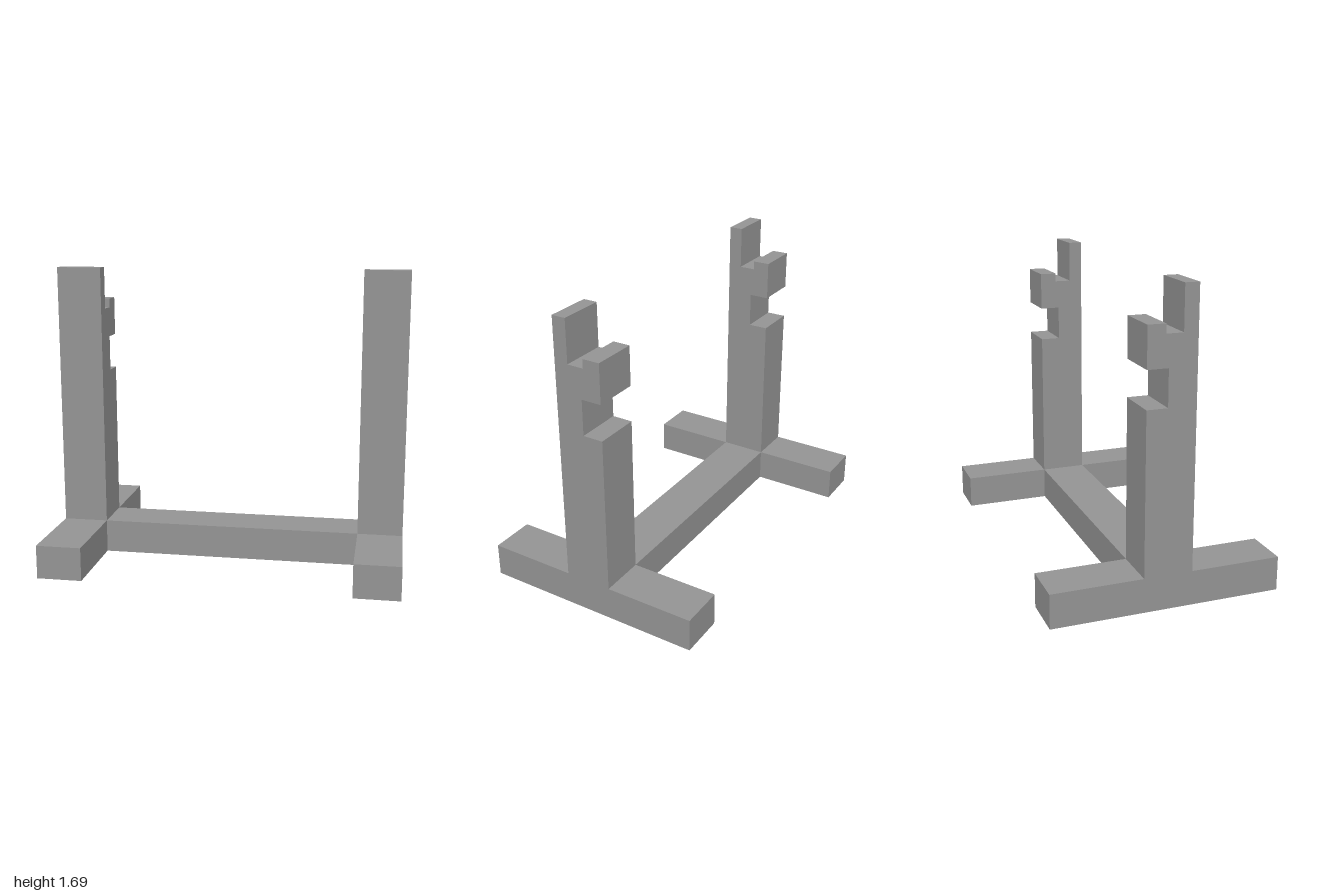
import * as THREE from 'three';

const OUTER = 1, INNER = 0.745, BASE_H = 0.19, HALF_POST = 0.134, HALF_FOOT = 0.637;

// Side outline of one upright with its foot, as [z, y] from the front of the foot
const OUTLINE = [
  [HALF_FOOT, 0], [-HALF_FOOT, 0], [-HALF_FOOT, BASE_H], [-HALF_POST, BASE_H],
  [-HALF_POST, 1.08], [-0.02, 1.08], [-0.02, 1.28], [-HALF_POST, 1.28], // rear slot
  [-HALF_POST, 1.5], [-0.037, 1.5], [-0.037, 1.45], [0.056, 1.45], // cradle notch
  [0.056, 1.69], [HALF_POST, 1.69], [HALF_POST, BASE_H], [HALF_FOOT, BASE_H],
];

export function createModel() {
  const model = new THREE.Group();
  model.name = 'rackStand';
  const material = new THREE.MeshStandardMaterial({ color: 0x949494, flatShading: true });

  // Outline is drawn with -z to the right, then turned so the extrusion runs along x
  const shape = new THREE.Shape(OUTLINE.map(([z, y]) => new THREE.Vector2(-z, y)));
  const uprightGeometry = new THREE.ExtrudeGeometry(shape, { depth: OUTER - INNER, bevelEnabled: false });
  uprightGeometry.rotateY(Math.PI / 2);

  // Notched uprights with feet
  for (const [name, x] of [['leftUpright', INNER], ['rightUpright', -OUTER]]) {
    const upright = new THREE.Mesh(uprightGeometry, material);
    upright.name = name;
    upright.position.x = x;
    model.add(upright);
  }

  // Beam joining the two feet
  const beam = new THREE.Mesh(new THREE.BoxGeometry(2 * INNER, BASE_H, 2 * HALF_POST), material);
  beam.name = 'crossBeam';
  beam.position.y = BASE_H / 2;
  model.add(beam);

  return model;
}
